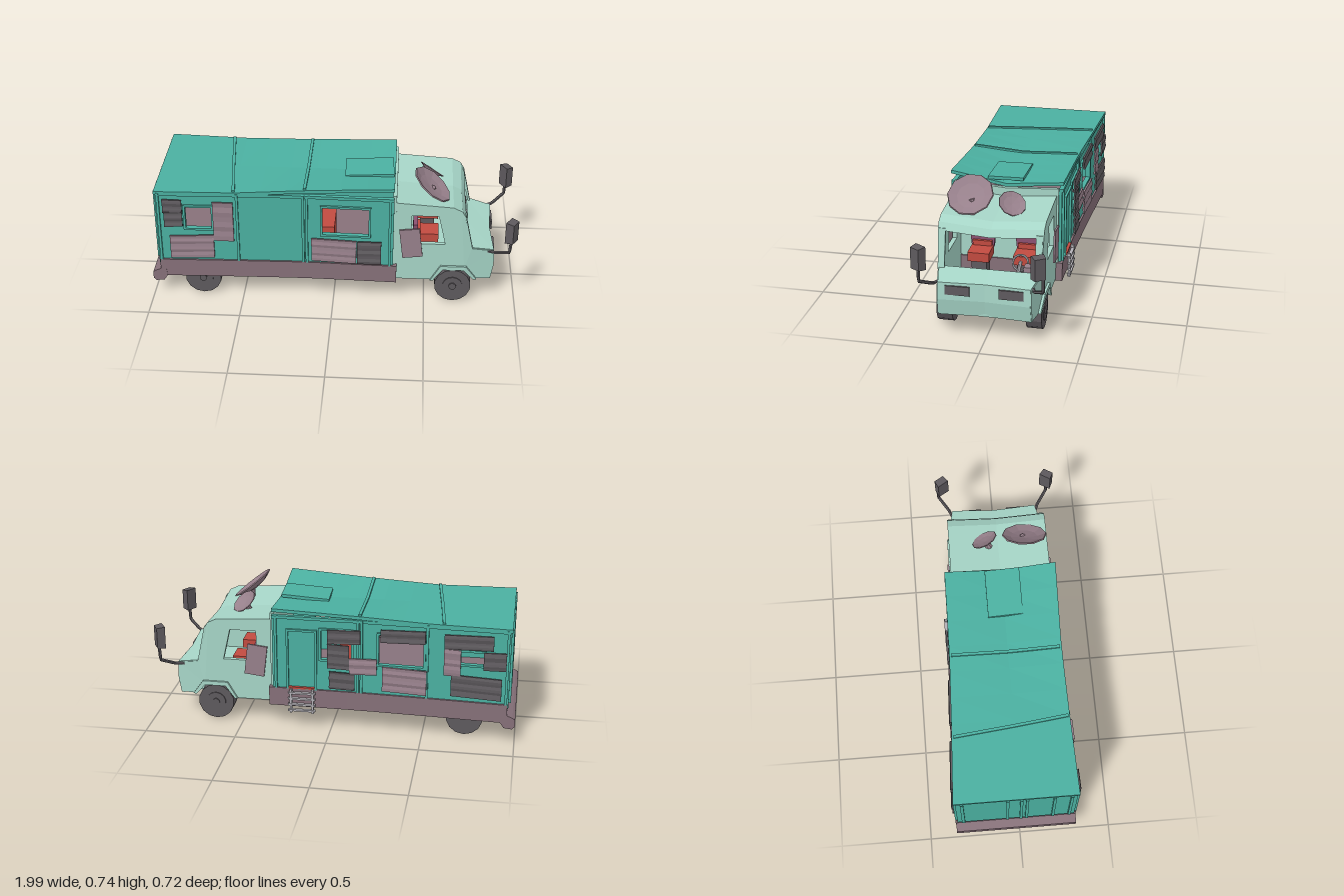
import * as THREE from 'three';

const paint = (name, color) => {
  const m = new THREE.MeshStandardMaterial({ color });
  m.name = name;
  return m;
};

export function createModel() {
  const root = new THREE.Group();
  root.name = 'camperTruck';
  const teal = paint('teal', 0x4bb0a1), mint = paint('mint', 0xa6d5c7), mauve = paint('mauve', 0x97808b);
  const skirtMat = paint('dustyMauve', 0x867079), dark = paint('darkGrey', 0x5e5a5e), red = paint('red', 0xc24b40);
  const plum = paint('plum', 0x8c5070), steel = paint('steel', 0xb4b2b8);

  // Faceted mesh, optionally with a rule that moves each vertex
  const add = (name, geo, mat, rule, parent = root) => {
    if (rule) {
      const p = geo.attributes.position, v = new THREE.Vector3();
      for (let i = 0; i < p.count; i++) {
        v.fromBufferAttribute(p, i);
        rule(v);
        p.setXYZ(i, v.x, v.y, v.z);
      }
    }
    const g = geo.index ? geo.toNonIndexed() : geo;
    g.computeVertexNormals();
    const m = new THREE.Mesh(g, mat);
    m.name = name;
    parent.add(m);
    return m;
  };
  const box = (x0, x1, y0, y1, z0, z1, sx = 1, sy = 1, sz = 1) =>
    new THREE.BoxGeometry(x1 - x0, y1 - y0, z1 - z0, sx, sy, sz)
      .translate((x0 + x1) / 2, (y0 + y1) / 2, (z0 + z1) / 2);
  const poly = (pts, Type = THREE.Shape) => new Type(pts.map(p => new THREE.Vector2(p[0], p[1])));
  const rect = (x0, x1, y0, y1) => [[x0, y0], [x1, y0], [x1, y1], [x0, y1]];
  const slab = (pts, holes, z0, z1, steps = 1) => {
    const s = poly(pts);
    holes.forEach(h => s.holes.push(poly(h, THREE.Path)));
    return new THREE.ExtrudeGeometry(s, { depth: z1 - z0, steps, bevelEnabled: false }).translate(0, 0, z0);
  };

  // Slightly crooked plan of the living box: half widths along x
  const stations = [[-0.97, 0.3, 0.342], [-0.53, 0.288, 0.32], [-0.155, 0.28, 0.305], [0.35, 0.292, 0.3]];
  const halfWidth = (x, side) => {
    const k = side > 0 ? 1 : 2;
    let i = 0;
    while (i < 2 && x > stations[i + 1][0]) i++;
    const a = stations[i], b = stations[i + 1];
    return a[k] + (b[k] - a[k]) * (x - a[0]) / (b[0] - a[0]);
  };
  const onSide = side => v => { v.z = side * halfWidth(v.x, side) + v.z; };
  const across = v => { v.z *= halfWidth(v.x, v.z); };

  // Side walls, three bays each with open windows
  const bays = [[-0.955, -0.53], [-0.53, -0.155], [-0.155, 0.325]];
  const windows = {
    1: [[[-0.8, -0.66, 0.43, 0.56]], [], [[-0.06, 0.19, 0.41, 0.575]]],
    '-1': [[[-0.82, -0.7, 0.44, 0.51]], [[-0.5, -0.26, 0.4, 0.57]], [[-0.11, 0.055, 0.41, 0.575]]],
  };
  for (const side of [1, -1]) {
    const rail = (name, x0, x1, y0, y1, out = 0.012) =>
      add(name, box(x0, x1, y0, y1, side > 0 ? 0 : -out, side > 0 ? out : 0), teal, onSide(side));
    const frame = (name, x0, x1, y0, y1) => {
      rail(name, x0 - 0.012, x1 + 0.012, y1, y1 + 0.012);
      rail(name, x0 - 0.012, x1 + 0.012, y0 - 0.012, y0);
      rail(name, x0 - 0.012, x0, y0, y1);
      rail(name, x1, x1 + 0.012, y0, y1);
    };
    bays.forEach(([x0, x1], i) => {
      const holes = windows[side][i];
      add('sideWall', slab(rect(x0, x1, 0.2, 0.645), holes.map(h => rect(...h)),
        side > 0 ? -0.015 : 0, side > 0 ? 0 : 0.015), teal, onSide(side));
      holes.forEach(h => frame('windowFrame', ...h));
      rail('topRail', x0, x1, 0.628, 0.645, 0.008);
    });
    [-0.945, -0.52, -0.165, -0.145, 0.305].forEach(x => rail('wallRib', x - 0.007, x + 0.007, 0.225, 0.645));
    if (side < 0) frame('doorFrame', 0.09, 0.235, 0.235, 0.56);
  }

  // Corrugated patch panels on the walls: x0, x1, y0, y1, colour
  const patches = {
    1: [[-0.92, -0.815, 0.53, 0.61, dark], [-0.915, -0.815, 0.445, 0.535, dark], [-0.65, -0.54, 0.36, 0.6, mauve],
      [-0.89, -0.65, 0.245, 0.385, mauve], [-0.12, 0.125, 0.245, 0.385, mauve], [0.13, 0.26, 0.235, 0.375, dark]],
    '-1': [[-0.16, 0.02, 0.51, 0.59, dark], [-0.1, 0.02, 0.36, 0.5, dark], [-0.25, -0.1, 0.34, 0.43, mauve],
      [-0.13, 0.01, 0.24, 0.34, dark], [-0.51, -0.27, 0.54, 0.61, dark], [-0.52, -0.28, 0.245, 0.385, mauve],
      [-0.87, -0.61, 0.53, 0.61, dark], [-0.7, -0.61, 0.37, 0.52, mauve], [-0.94, -0.82, 0.42, 0.52, dark],
      [-0.92, -0.65, 0.25, 0.37, dark]],
  };
  for (const side of [1, -1]) {
    patches[side].forEach(([x0, x1, y0, y1, mat], n) =>
      add('patchPanel', box(x0, x1, y0, y1, -0.005, 0.005, 1, 8), mat, v => {
        v.z += side * (0.018 + 0.003 * Math.sin(v.y * 130)) * (n % 2 ? 1 : 0.9);
        v.y += (v.x - x0) * 0.03 * (n % 2 ? 1 : -1);
        onSide(side)(v);
      }));
  }

  // Rear wall with vertical ribs
  add('rearWall', box(-0.96, -0.94, 0.2, 0.645, -1, 1), teal, across);
  [-0.9, -0.2, 0.02, 0.12, 0.6, 0.9].forEach(z =>
    add('rearRib', box(-0.972, -0.955, 0.225, 0.64, z - 0.025, z + 0.025), teal, across));

  // Front bulkhead with a passage into the living box
  add('bulkhead', slab([[-0.285, 0.2], [0.28, 0.2], [0.28, 0.655], [0, 0.635], [-0.285, 0.65]],
    [rect(-0.21, -0.06, 0.22, 0.53)], -0.02, 0).rotateY(-Math.PI / 2).translate(0.318, 0, 0), mint);

  // Sagging roof sheet, lifted at its front corners
  const sag = v => {
    const t = Math.max(0, (v.x + 0.53) / 0.86);
    v.y += Math.abs(v.z) * t * (v.z > 0 ? 0.052 : 0.028);
    across(v);
  };
  add('roof', box(-0.965, 0.325, 0.637, 0.655, -1.03, 1.03, 9, 1, 2), teal, sag);
  for (const x of [-0.57, -0.155]) {
    add('roofRib', box(x - 0.008, x + 0.008, 0.65, 0.664, -1, 1, 1, 1, 2), teal, v => {
      if (x < -0.5) v.x += v.z * 0.035;
      sag(v);
    });
  }
  add('roofHatch', box(0.05, 0.315, 0.655, 0.672, -0.09, 0.1), teal, v => {
    v.y += (v.x - 0.05) * 0.06;
    v.x += v.z * 0.04;
  });

  // Chassis skirt and rear bumper
  add('skirt', box(-0.955, 0.345, 0.12, 0.225, -1.035, 1.035, 9, 1, 1), skirtMat, across);
  add('rearBumper', slab([[-0.93, 0.228], [-0.955, 0.22], [-0.95, 0.165], [-0.985, 0.15], [-1, 0.14], [-1, 0.1],
    [-0.985, 0.085], [-0.94, 0.09], [-0.92, 0.12]], [], -0.35, 0.31), skirtMat);

  // Furniture inside the living box
  add('bench', box(-0.14, 0.0, 0.225, 0.4, 0.0, 0.2), red);
  add('cupboard', box(-0.5, -0.22, 0.225, 0.42, 0.02, 0.26), mauve);

  // Cab, tapering towards the nose
  const taper = v => { if (v.x > 0.72) v.z *= 1 - (v.x - 0.72) * 0.75; };
  const cabSide = [[0.33, 0.13], [0.545, 0.13], [0.595, 0.205], [0.715, 0.205], [0.765, 0.14], [0.86, 0.135],
    [0.875, 0.22], [0.87, 0.31], [0.75, 0.335], [0.705, 0.54], [0.685, 0.568], [0.64, 0.588], [0.33, 0.607]];
  const cabWindow = [[0.42, 0.36], [0.605, 0.36], [0.565, 0.535], [0.42, 0.535]];
  const arch = [[0.53, 0.13], [0.545, 0.13], [0.597, 0.202], [0.713, 0.202], [0.765, 0.14], [0.785, 0.14],
    [0.725, 0.225], [0.585, 0.225]];
  for (const side of [1, -1]) {
    const z = (a, b) => side > 0 ? [a, b] : [-b, -a];
    add('cabSide', slab(cabSide, [cabWindow], ...z(0.25, 0.275)), mint, taper);
    add('wheelArch', slab(arch, [], ...z(0.27, 0.288)), mint, taper);
    add('screenPillar', slab([[0.745, 0.33], [0.755, 0.33], [0.71, 0.54], [0.69, 0.54]], [], ...z(0.235, 0.27)), mint);
    const door = add('cabPatch', box(-0.055, 0.055, -0.088, 0.088, -0.005, 0.005), mauve);
    door.position.set(0.42, 0.37, side * 0.288);
    door.rotation.z = 0.12;
    add('headlight', box(0.868, 0.878, 0.25, 0.3, ...z(0.075, 0.203)), dark, v => { v.x -= 0.002; });

    // Door mirror on a bent arm
    const s = side, o = side > 0 ? 0.01 : -0.012;
    const path = new THREE.CurvePath();
    const pts = [[0.82, 0.305, 0.225], [0.88, 0.31, 0.25], [0.95, 0.35, 0.305], [0.955, 0.43, 0.305]]
      .map(p => new THREE.Vector3(p[0], p[1], s * (p[2] + s * o)));
    for (let i = 0; i < 3; i++) path.add(new THREE.LineCurve3(pts[i], pts[i + 1]));
    add('mirrorArm', new THREE.TubeGeometry(path, 12, 0.009, 6), dark);
    const mirror = add('mirror', new THREE.BoxGeometry(0.045, 0.125, 0.068, 1, 2, 1), dark, v => {
      if (v.x > 0) { v.z *= 0.85; v.y *= 0.92; }
    });
    mirror.position.set(0.955, 0.48, s * 0.305 + 0.01);
    mirror.rotation.y = -s * 0.55;

    // Wheels
    for (const x of [0.655, -0.725]) {
      const disc = (name, r, a, b, mat) =>
        add(name, new THREE.CylinderGeometry(r, r, b - a, 14).rotateX(Math.PI / 2)
          .translate(x, 0.1, side * (a + b) / 2 + 0.005), mat);
      disc('tyre', 0.1, 0.195, 0.278, dark);
      disc('rim', 0.055, 0.27, 0.283, dark);
      disc('hub', 0.02, 0.27, 0.29, dark);
    }
  }
  add('cabRoof', slab([[0.33, 0.585], [0.63, 0.565], [0.68, 0.53], [0.712, 0.53], [0.69, 0.568], [0.642, 0.592],
    [0.33, 0.612]], [], -0.275, 0.275, 2), mint, v => { v.y -= 0.022 * (1 - Math.abs(v.z) / 0.275); });
  add('nose', slab([[0.735, 0.343], [0.735, 0.32], [0.85, 0.3], [0.855, 0.22], [0.84, 0.13], [0.862, 0.13],
    [0.877, 0.22], [0.872, 0.315]], [], -0.27, 0.27, 2), mint, v => {
    if (v.x > 0.8) v.x -= 0.015 * (1 - Math.abs(v.z) / 0.27);
    taper(v);
  });
  add('cabFloor', box(0.33, 0.85, 0.13, 0.15, -0.19, 0.19), mint);
  add('cabStep', box(0.33, 0.545, 0.13, 0.15, -0.26, 0.26), mint);
  add('wheelWell', box(0.55, 0.75, 0.2, 0.215, -0.26, 0.26), mint);

  // Cab seats, steering wheel and dash box
  for (const z of [0.1, -0.145]) {
    add('seatCushion', box(0.45, 0.57, 0.3, 0.35, z - 0.058, z + 0.058), red);
    add('seatBase', box(0.47, 0.55, 0.2, 0.3, z - 0.04, z + 0.04), dark);
    add('seatBack', box(0.43, 0.455, 0.34, 0.412, z - 0.06, z + 0.06), plum, v => { if (v.y > 0.4) v.z += (v.z - z) * 0.12; });
    add('seatPad', box(0.455, 0.47, 0.34, 0.378, z - 0.052, z + 0.052), red);
  }
  const wheel = add('steeringWheel', new THREE.TorusGeometry(0.04, 0.006, 6, 16).rotateY(Math.PI / 2), steel);
  wheel.position.set(0.66, 0.36, -0.145);
  wheel.rotation.z = 0.5;
  add('steeringColumn', new THREE.CylinderGeometry(0.01, 0.01, 0.1, 8).rotateZ(1.1).translate(0.7, 0.34, -0.145), steel);
  add('dashBox', box(0.68, 0.73, 0.34, 0.368, -0.235, -0.175), mauve);

  // Dish antennas on the cab roof
  const dish = (r, at, normal, foot) => {
    const g = new THREE.Group();
    g.name = 'dishAntenna';
    const prof = [[0, -0.28], [0.6, -0.18], [1, 0], [0.97, 0.05], [0.6, -0.08], [0, -0.15]];
    const bowl = add('dishBowl', new THREE.LatheGeometry(prof.map(p => new THREE.Vector2(p[0] * r, p[1] * r)), 10),
      mauve, null, g);
    const up = new THREE.Vector3(0, 1, 0);
    bowl.quaternion.setFromUnitVectors(up, new THREE.Vector3(...normal).normalize());
    bowl.position.set(...at);
    const a = new THREE.Vector3(...foot), d = new THREE.Vector3(...at).sub(a), len = d.length() * 0.75;
    const stem = add('dishStem', new THREE.CylinderGeometry(0.016, 0.024, len, 8).translate(0, len / 2, 0), mauve, null, g);
    stem.position.copy(a);
    stem.quaternion.setFromUnitVectors(up, d.normalize());
    root.add(g);
  };
  dish(0.125, [0.525, 0.66, 0.147], [0.62, 0.78, 0.05], [0.53, 0.57, 0.12]);
  dish(0.075, [0.525, 0.628, -0.075], [0.5, 0.72, -0.38], [0.5, 0.555, -0.045]);

  // Entrance ladder and red doorstep
  for (const x of [0.1, 0.22]) {
    add('ladderRail', box(x - 0.006, x + 0.006, 0.09, 0.225, -0.335, -0.322), steel);
    add('ladderHook', box(x - 0.006, x + 0.006, 0.215, 0.228, -0.335, -0.3), steel);
  }
  for (let i = 0; i < 4; i++)
    add('ladderRung', box(0.085, 0.235, 0.1 + i * 0.034, 0.11 + i * 0.034, -0.338, -0.32), steel);
  add('doorStep', box(0.09, 0.235, 0.226, 0.236, -0.318, -0.28), red);

  return root;
}
